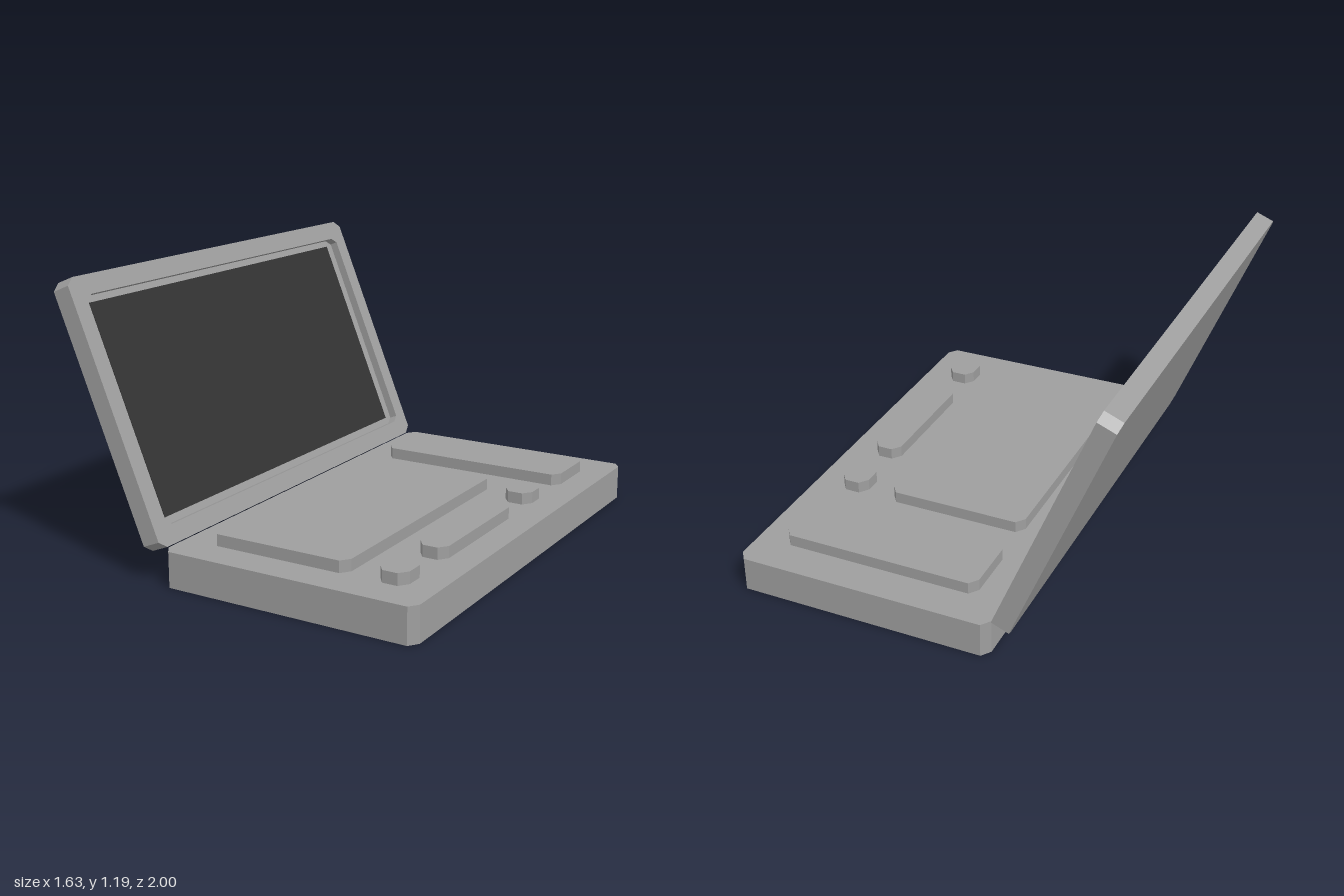
import * as THREE from 'three';

const grey = new THREE.MeshStandardMaterial({ color: 0x9e9e9e });
grey.name = 'casingGrey';
const dark = new THREE.MeshStandardMaterial({ color: 0x333333 });
dark.name = 'screenDark';

// Rectangle with cut corners, drawn in x and -z
function outline(path, [x0, x1, z0, z1], cx, cz) {
  const pts = [
    [x0 + cx, z1], [x1 - cx, z1], [x1, z1 - cz], [x1, z0 + cz],
    [x1 - cx, z0], [x0 + cx, z0], [x0, z0 + cz], [x0, z1 - cz],
  ];
  return path.setFromPoints(pts.map(([x, z]) => new THREE.Vector2(x, -z)));
}

// Upright plate between two heights, with an optional opening
function plate(name, rect, y0, y1, cx = 0.03, cz = 0.04, opening = null) {
  const shape = outline(new THREE.Shape(), rect, cx, cz);
  if (opening) shape.holes.push(outline(new THREE.Path(), opening, 0.022, 0.035));
  const geo = new THREE.ExtrudeGeometry(shape, { depth: y1 - y0, bevelEnabled: false });
  geo.rotateX(-Math.PI / 2).translate(0, y0, 0);
  const mesh = new THREE.Mesh(geo, grey);
  mesh.name = name;
  return mesh;
}

export function createModel() {
  const model = new THREE.Group();
  model.name = 'laptop';

  // Base and raised key blocks
  model.add(plate('base', [-0.31, 0.815, -1, 1], 0, 0.15));
  const keys = [
    ['numberPad', [-0.185, 0.69, -0.84, -0.54]],
    ['mainKeyboard', [-0.185, 0.44, -0.38, 0.85]],
    ['rightButton', [0.565, 0.69, -0.38, -0.23]],
    ['spaceBar', [0.565, 0.69, -0.075, 0.54]],
    ['leftButton', [0.565, 0.69, 0.695, 0.85]],
  ];
  for (const [name, rect] of keys) model.add(plate(name, rect, 0.148, 0.2));

  // Tilted lid: local x runs down from the top edge, local y faces the keys
  const lid = new THREE.Group();
  lid.name = 'lid';
  lid.position.set(-0.815, 1.155, 0);
  lid.rotation.z = Math.atan2(-0.925, 0.38);
  const lidRect = [0, 1.119, -1, 1];
  lid.add(plate('lidBack', lidRect, 0, 0.044));
  lid.add(plate('screenFrame', lidRect, 0.044, 0.081, 0.03, 0.04, [0.081, 1.043, -0.925, 0.925]));

  // Display panel sunk inside the frame
  const screen = new THREE.Mesh(new THREE.BoxGeometry(0.903, 0.004, 1.76), dark);
  screen.name = 'screen';
  screen.position.set(0.5605, 0.045, 0);
  lid.add(screen);
  model.add(lid);

  return model;
}
